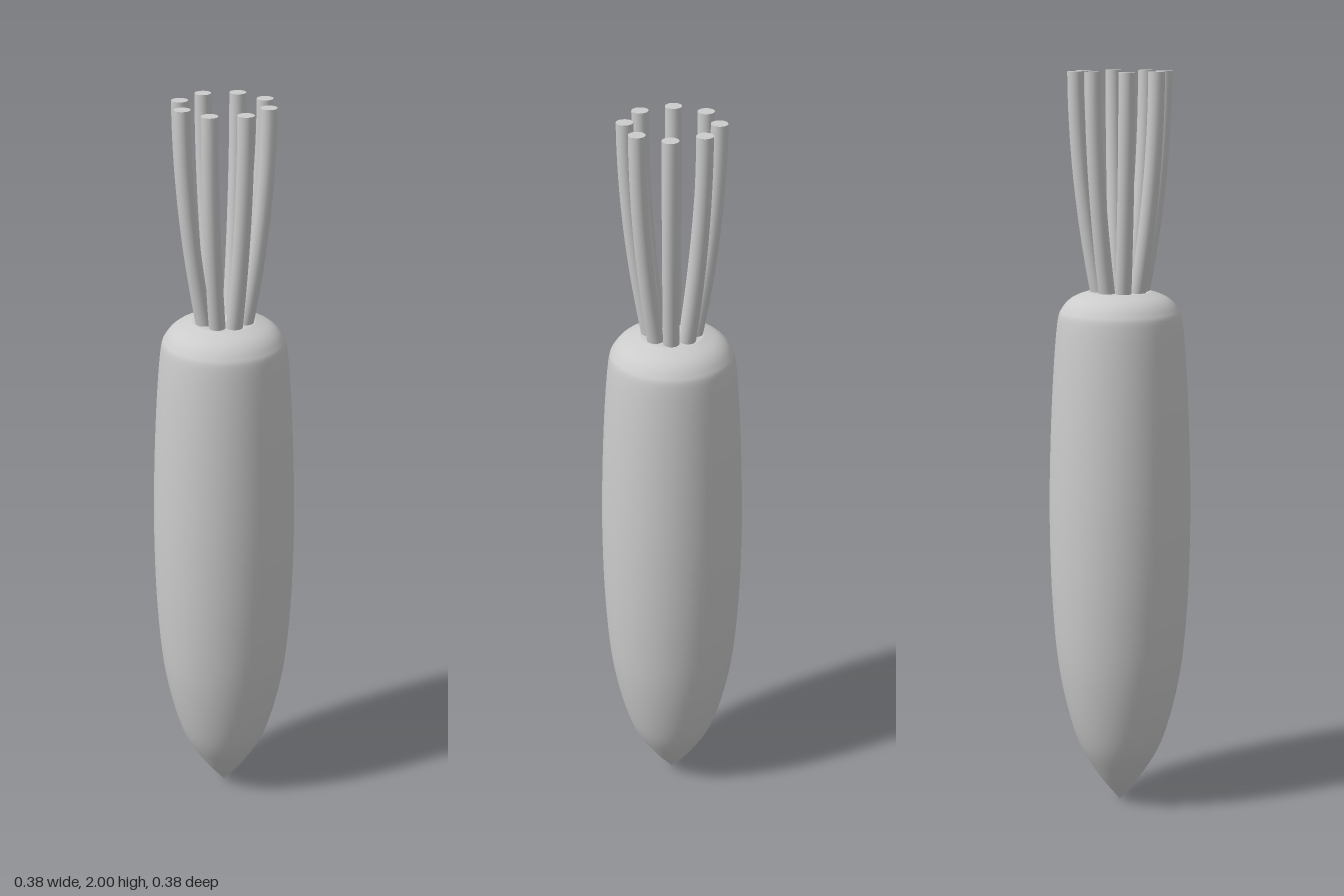
import * as THREE from 'three';

const material = new THREE.MeshStandardMaterial({ color: 0xcccccc, side: THREE.DoubleSide });

// Turned root: pointed tip, long swelling body, rounded shoulder
function createRoot() {
  const side = new THREE.SplineCurve([
    [0, 0.005], [0.065, 0.09], [0.122, 0.2], [0.165, 0.38], [0.184, 0.58],
    [0.19, 0.8], [0.187, 1.0], [0.178, 1.2], [0.166, 1.345],
    [0.153, 1.385], [0.125, 1.413], [0.08, 1.43],
  ].map(([r, y]) => new THREE.Vector2(r, y)));
  const profile = [...side.getPoints(66), new THREE.Vector2(0, 1.43)];
  const root = new THREE.Mesh(new THREE.LatheGeometry(profile, 64), material);
  root.name = 'root';
  return root;
}

// Stalk that leans outward at the crown and straightens towards its cut end
function createStalk() {
  const radius = 0.0215;
  const path = new THREE.QuadraticBezierCurve3(
    new THREE.Vector3(0.054, 1.41, 0),
    new THREE.Vector3(0.115, 1.72, 0),
    new THREE.Vector3(0.1155, 2, 0),
  );
  const stalk = new THREE.Group();
  const stem = new THREE.Mesh(new THREE.TubeGeometry(path, 20, radius, 20), material);
  stem.name = 'stalkStem';
  const end = new THREE.Mesh(new THREE.CircleGeometry(radius, 20), material);
  end.name = 'stalkCutEnd';
  end.rotation.x = -Math.PI / 2;
  end.position.set(0.1155, 2, 0);
  stalk.add(stem, end);
  return stalk;
}

export function createModel() {
  const model = new THREE.Group();
  model.name = 'rootVegetable';
  model.add(createRoot());

  // Ring of eight stalks
  const count = 8;
  for (let i = 0; i < count; i++) {
    const stalk = createStalk();
    stalk.name = `stalk${i + 1}`;
    stalk.rotation.y = -(0.448 + (i / count) * Math.PI * 2);
    model.add(stalk);
  }
  return model;
}
